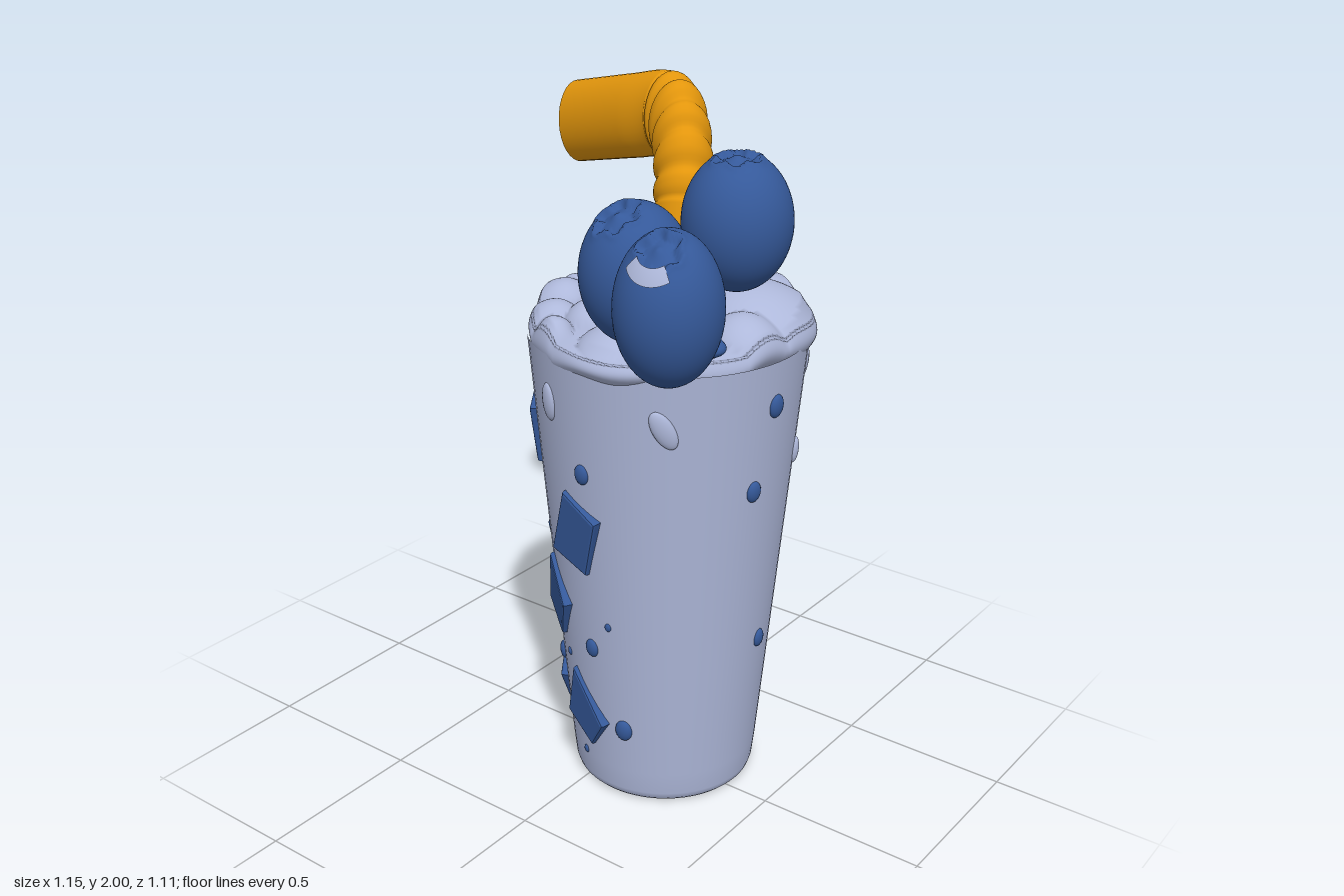
import * as THREE from 'three';
import { mergeVertices } from 'three/addons/utils/BufferGeometryUtils.js';
import { ParametricGeometry } from 'three/addons/geometries/ParametricGeometry.js';

const V = (x, y, z) => new THREE.Vector3(x, y, z);

export function createModel() {
  const model = new THREE.Group();
  model.name = 'smoothie';
  const cream = new THREE.MeshStandardMaterial({ name: 'pale lavender', color: 0xaeb8da });
  const blue = new THREE.MeshStandardMaterial({ name: 'berry blue', color: 0x35599a });
  const orange = new THREE.MeshStandardMaterial({ name: 'straw orange', color: 0xe3960c });

  const add = (parent, name, geometry, material) => {
    const mesh = new THREE.Mesh(geometry, material);
    mesh.name = name;
    parent.add(mesh);
    return mesh;
  };

  // Everything belonging to the cup is built round its own axis
  const CX = 0.11, CZ = -0.03;
  const cup = new THREE.Group();
  cup.name = 'cup';
  cup.position.set(CX, 0, CZ);
  model.add(cup);

  // Tapered cup body with a softened foot
  const wall = (y) => 0.267 + 0.088 * y;
  const profile = [[0, 0], [0.24, 0], [0.252, 0.002], [0.262, 0.012], [0.268, 0.03],
    [wall(0.1), 0.1], [wall(0.5), 0.5], [wall(1), 1], [wall(1.38), 1.38]];
  add(cup, 'cupBody', new THREE.LatheGeometry(profile.map((p) => new THREE.Vector2(...p)), 64), cream);

  // Whipped top: polar height field with rounded lumps [x, z, radius, height]
  const lumps = [
    [-0.04, -0.1, 0.12, 0.10], [-0.1, -0.13, 0.06, 0.07], [0.15, -0.03, 0.05, 0.06],
    [0.06, -0.1, 0.07, 0.08], [-0.2, -0.13, 0.07, 0.06], [-0.2, 0.06, 0.09, 0.06],
    [-0.22, -0.03, 0.06, 0.05], [-0.01, 0.17, 0.07, 0.05], [-0.04, 0.29, 0.06, 0.05],
    [-0.12, 0.2, 0.08, 0.05], [0.33, -0.16, 0.19, 0.085], [0.25, -0.32, 0.13, 0.07],
    [0.08, -0.34, 0.11, 0.06], [0.4, 0.02, 0.1, 0.06], [-0.1, -0.27, 0.1, 0.05], [0.15, 0.26, 0.1, 0.04],
  ];
  const foamHeight = (x, z, r) => {
    let lift = 0;
    for (const [lx, lz, lr, lh] of lumps) {
      const d = ((x + CX - lx) ** 2 + (z + CZ - lz) ** 2) / (lr * lr);
      if (d < 1) lift = Math.max(lift, lh * (1 - d) ** 0.75);
    }
    return 1.455 - 0.3 * r * r + lift * Math.min(1, (0.42 - r) / 0.06);
  };
  const foam = new ParametricGeometry((u, v, out) => {
    const a = -2 * Math.PI * u;
    const rim = 0.396 + 0.012 * Math.sin(3 * a + 1.2) + 0.006 * Math.sin(7 * a);
    const lip = 1.345 + 0.012 * Math.sin(5 * a) + 0.008 * Math.sin(9 * a + 2);
    let r, y;
    if (v < 0.8) {
      r = 0.001 + (v / 0.8) * (rim - 0.016);
      y = foamHeight(r * Math.sin(a), r * Math.cos(a), r);
    } else { // rolled edge, tucked back into the wall
      const k = (v - 0.8) / 0.2;
      r = rim - 0.016 + 0.016 * Math.sin(Math.PI * k) - 0.012 * k;
      const top = foamHeight((rim - 0.016) * Math.sin(a), (rim - 0.016) * Math.cos(a), rim - 0.016);
      y = THREE.MathUtils.lerp(top, lip, k);
    }
    out.set(r * Math.sin(a), y, r * Math.cos(a));
  }, 120, 60);
  add(cup, 'whippedTop', foam, cream);

  // Places a part on the cup wall; angle 0 faces the front
  const onWall = (mesh, angle, y, inset = 0) => {
    const r = wall(y) - inset;
    mesh.position.set(r * Math.sin(angle), y, r * Math.cos(angle));
    mesh.rotation.set(0.088, angle, mesh.rotation.z, 'YXZ');
    return mesh;
  };

  // Angular fruit pieces: angle, height, then four corners
  const chunks = [
    [-0.175, 0.87, [[-0.03, 0.12], [0.09, 0.06], [0.035, -0.12], [-0.095, -0.08]]],
    [-0.635, 0.61, [[-0.015, 0.12], [0.09, 0], [0.03, -0.12], [-0.085, -0.06]]],
    [-0.28, 0.28, [[-0.03, 0.12], [0.09, -0.03], [0.03, -0.12], [-0.075, -0.05]]],
    [-1.15, 1.09, [[-0.05, 0.13], [0.08, 0.05], [0.06, -0.12], [-0.08, -0.06]]],
    [-1.2, 0.29, [[-0.04, 0.11], [0.08, -0.02], [0.03, -0.12], [-0.07, -0.04]]],
    [-1.2, 0.74, [[-0.02, 0.05], [0.04, 0.02], [0.02, -0.06], [-0.04, -0.03]]],
  ];
  for (const [angle, y, corners] of chunks) {
    const shape = new THREE.Shape(corners.map(([x, v]) => new THREE.Vector2(x * 0.92, v * 0.92)));
    const geo = new THREE.ExtrudeGeometry(shape, {
      depth: 0.03, bevelEnabled: true, bevelThickness: 0.008, bevelSize: 0.008, bevelSegments: 2,
    });
    onWall(add(cup, 'fruitChunk', geo, blue), angle, y, 0.024);
  }

  // Small oval fruit bits: angle, height, size
  const bits = [
    [-0.06, 1.06, 0.023], [-0.1, 0.5, 0.022], [0.21, 0.245, 0.026], [-0.82, 0.38, 0.022],
    [-1.05, 0.54, 0.025], [-1.3, 0.48, 0.026], [0.1, 0.59, 0.01], [-0.35, 0.11, 0.01],
    [1.49, 1.25, 0.026], [1.34, 1.01, 0.024], [1.65, 0.5, 0.022], [-0.5, 0.43, 0.01],
  ];
  for (const [angle, y, s] of bits) {
    const bit = onWall(add(cup, 'fruitBit', new THREE.SphereGeometry(1, 16, 12), blue), angle, y);
    bit.scale.set(s, s * 1.3, s * 0.6);
  }

  // Drips below the rim: angle, height, width, length, lean
  const drips = [
    [-0.375, 1.24, 0.028, 0.055, 0], [0.6, 1.23, 0.03, 0.06, 0.5], [-2.4, 1.28, 0.03, 0.07, -0.6],
    [2.3, 1.27, 0.03, 0.06, 0.4], [-2.2, 1.08, 0.022, 0.03, 0], [2, 1.05, 0.018, 0.04, 0],
  ];
  for (const [angle, y, w, l, lean] of drips) {
    const drip = add(cup, 'drip', new THREE.SphereGeometry(1, 16, 12), cream);
    drip.rotation.z = lean;
    onWall(drip, angle, y).scale.set(w, l, 0.014);
  }

  // Juice stains on the whipped top
  for (const [x, z, w] of [[0.28, 0.07, 0.09], [0.35, 0.17, 0.08]]) {
    const stain = add(model, 'juiceStain', new THREE.SphereGeometry(1, 24, 12), blue);
    stain.position.set(x, 1.44, z);
    stain.scale.set(w, 0.03, w * 0.7);
  }

  // Blueberry: sphere with a lobed crown pressed into its pole
  const berryGeo = () => {
    let g = new THREE.SphereGeometry(1, 60, 60);
    g.deleteAttribute('uv');
    g.deleteAttribute('normal');
    g = mergeVertices(g);
    const p = g.attributes.position, v = V(0, 0, 0);
    for (let i = 0; i < p.count; i++) {
      v.fromBufferAttribute(p, i);
      const theta = Math.acos(THREE.MathUtils.clamp(v.y, -1, 1));
      const edge = 0.43 + 0.05 * Math.cos(6 * Math.atan2(v.z, v.x));
      const inside = THREE.MathUtils.smoothstep(edge - theta, 0, 0.1);
      const f = 1 - 0.1 * inside + 0.025 * Math.exp(-(((theta - edge) / 0.06) ** 2))
        + 0.05 * Math.exp(-((theta / 0.12) ** 2));
      p.setXYZ(i, v.x * f, v.y * f, v.z * f);
    }
    g.computeVertexNormals();
    return g;
  };
  // position, radius, half height, tilt forward, tilt sideways
  const berries = [
    [V(0.205, 1.625, 0.245), 0.147, 0.187, 0.42, 0.12],
    [V(0.43, 1.77, 0.125), 0.141, 0.177, 0.06, 0],
    [V(0.43, 1.62, 0.412), 0.137, 0.197, 0.5, -0.1],
  ];
  berries.forEach(([pos, r, h, forward, side], i) => {
    const berry = new THREE.Group();
    berry.name = 'blueberry';
    berry.position.copy(pos);
    berry.scale.set(r, h, r);
    model.add(berry);
    const body = add(berry, 'berryBody', berryGeo(), blue);
    body.rotation.set(forward, 0, side);
    if (i === 2) { // pale smear on the front of the crown
      const smear = new THREE.SphereGeometry(1.03, 20, 4, Math.PI * 0.22, Math.PI * 0.56, 0.36, 0.24);
      add(body, 'creamSmear', smear, cream);
    }
  });

  // Bendy straw, made round and then stretched upward
  const S = 1.5, R = 0.083;
  const straw = new THREE.Group();
  straw.name = 'straw';
  straw.scale.y = S;
  model.add(straw);
  const path = new THREE.CatmullRomCurve3([
    [0.025, 1.38, -0.195], [0.005, 1.53, -0.23], [-0.012, 1.68, -0.265], [-0.035, 1.77, -0.295],
    [-0.09, 1.85, -0.35], [-0.17, 1.868, -0.405], [-0.3, 1.842, -0.428], [-0.43, 1.813, -0.452], [-0.555, 1.785, -0.475],
  ].map(([x, y, z]) => V(x, y / S, z)));
  const N = 160, SIDES = 32;
  let tube = new THREE.TubeGeometry(path, N, R, SIDES);
  const tp = tube.attributes.position, q = V(0, 0, 0);
  for (let i = 0; i <= N; i++) {
    const t = i / N, k = (t - 0.22) / 0.33;
    // pleats along the bend
    const f = k > 0 && k < 1 ? 1.03 - 0.13 * Math.abs(Math.cos(Math.PI * 5 * k)) ** 4 : 1;
    const c = path.getPointAt(t);
    for (let j = 0; j <= SIDES; j++) {
      const n = i * (SIDES + 1) + j;
      q.fromBufferAttribute(tp, n).sub(c).multiplyScalar(f).add(c);
      tp.setXYZ(n, q.x, q.y, q.z);
    }
  }
  tube.deleteAttribute('uv');
  tube.deleteAttribute('normal');
  tube = mergeVertices(tube);
  tube.computeVertexNormals();
  add(straw, 'strawTube', tube, orange);

  // Thick open end of the straw with a narrow bore
  const mouth = [[R, 0], [R * 0.45, 0], [R * 0.45, 0], [R * 0.45, -0.1], [R * 0.45, -0.1], [0, -0.1]];
  const end = add(straw, 'strawMouth',
    new THREE.LatheGeometry(mouth.map((m) => new THREE.Vector2(...m)), SIDES), orange);
  end.position.copy(path.getPointAt(1));
  end.quaternion.setFromUnitVectors(V(0, 1, 0), path.getTangentAt(1));

  return model;
}
